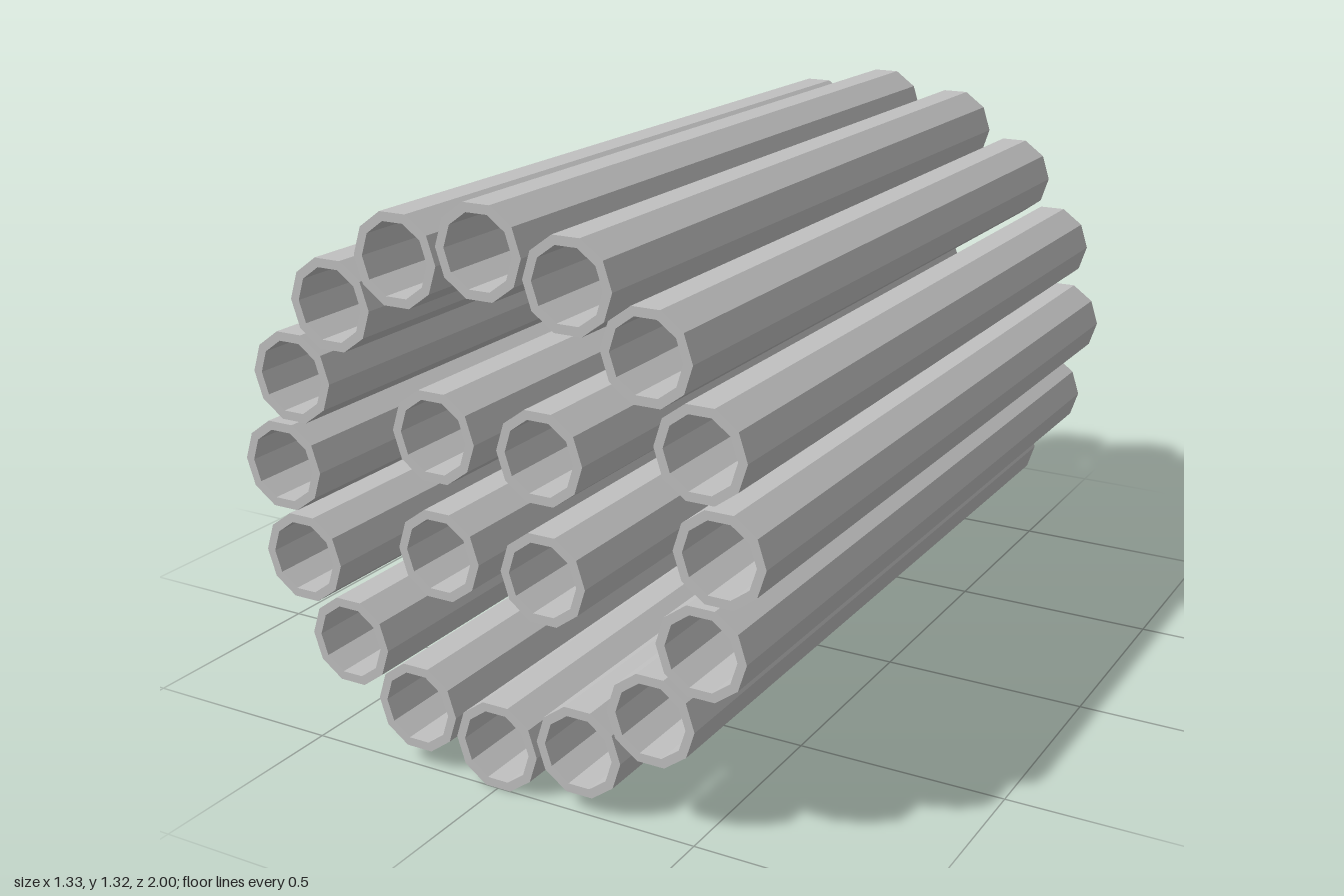
import * as THREE from 'three';

const OUTER = 0.1066, INNER = 0.085, LENGTH = 2, SIDES = 10;
const CENTRE_Y = 0.662, RING = 0.56;

// Corners of a regular polygon with a flat top
function polygon(radius) {
  return Array.from({ length: SIDES }, (_, i) => {
    const a = (i / SIDES) * Math.PI * 2;
    return new THREE.Vector2(Math.cos(a) * radius, Math.sin(a) * radius);
  });
}

export function createModel() {
  const model = new THREE.Group();
  model.name = 'pipeBundle';

  const grey = new THREE.MeshStandardMaterial({ color: 0xc0c0c0, flatShading: true });
  grey.name = 'grey';

  // Hollow ten-sided pipe running along z
  const section = new THREE.Shape(polygon(OUTER));
  section.holes.push(new THREE.Path(polygon(INNER)));
  const pipe = new THREE.ExtrudeGeometry(section, { depth: LENGTH, bevelEnabled: false });
  pipe.translate(0, 0, -LENGTH / 2);

  function addPipe(parent, name, x, y) {
    const mesh = new THREE.Mesh(pipe, grey);
    mesh.name = name;
    mesh.position.set(x, y, 0);
    parent.add(mesh);
  }

  // Outer ring of sixteen pipes
  const outerRing = new THREE.Group();
  outerRing.name = 'outerRing';
  for (let i = 0; i < 16; i++) {
    const a = (i / 16) * Math.PI * 2;
    addPipe(outerRing, `outerPipe${i + 1}`, Math.cos(a) * RING, CENTRE_Y + Math.sin(a) * RING);
  }

  // Four pipes in a square at the core
  const core = new THREE.Group();
  core.name = 'corePipes';
  for (const [sx, side] of [[1, 'left'], [-1, 'right']]) {
    for (const [sy, level] of [[1, 'Upper'], [-1, 'Lower']]) {
      addPipe(core, `${side}${level}CorePipe`, sx * 0.135, CENTRE_Y + 0.003 + sy * 0.136);
    }
  }

  model.add(outerRing, core);
  return model;
}
